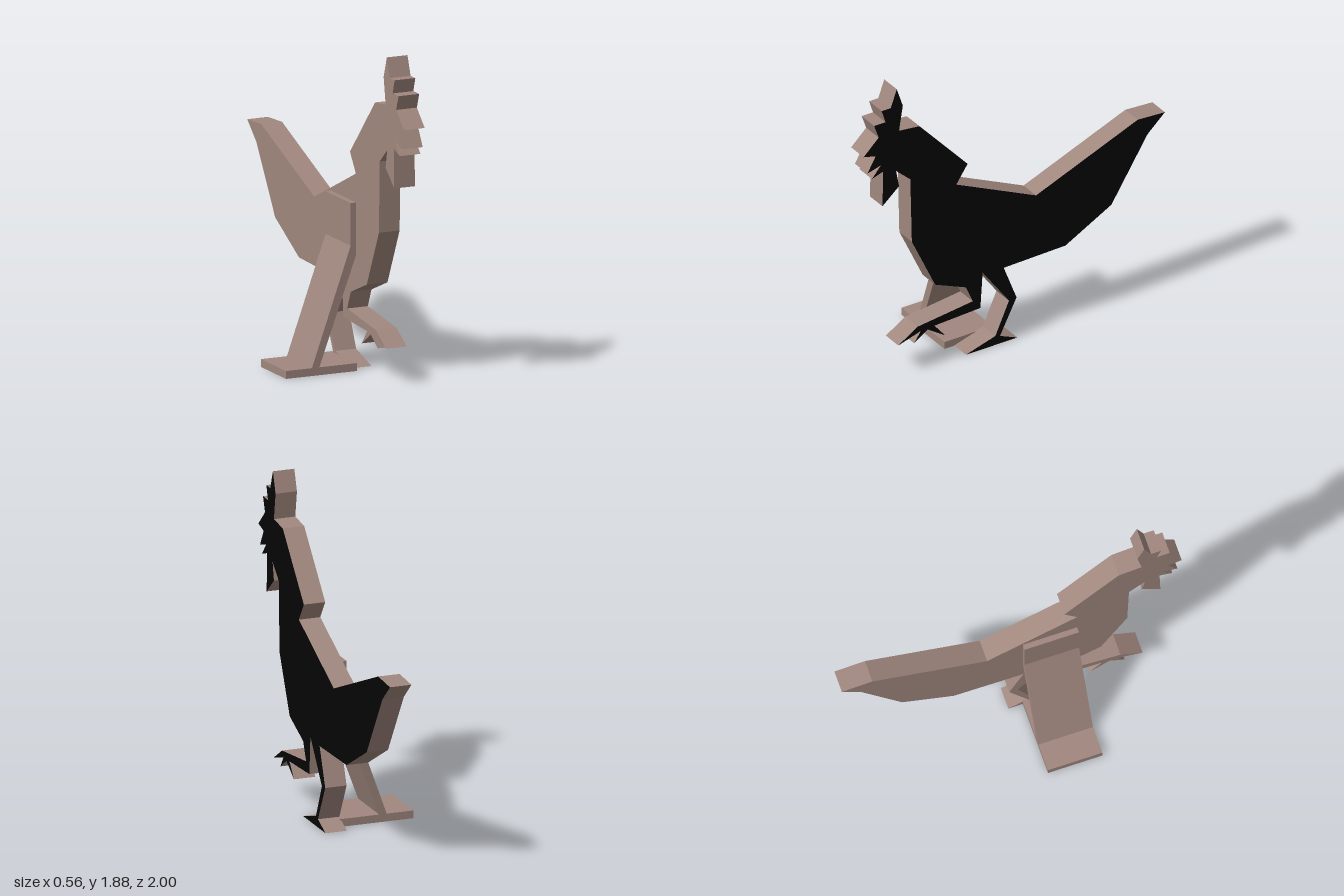
import * as THREE from 'three';

// Extrudes an outline of [z, y] points sideways from x0 to x1
function extrudeSide(points, x0, x1) {
  const shape = new THREE.Shape(points.map(([z, y]) => new THREE.Vector2(-z, y)));
  const geo = new THREE.ExtrudeGeometry(shape, { depth: x1 - x0, bevelEnabled: false });
  return geo.rotateY(Math.PI / 2).translate(x0, 0, 0);
}

export function createModel() {
  const wood = new THREE.MeshStandardMaterial({ color: 0xa1887f });
  wood.name = 'wood';
  const blackPaint = new THREE.MeshStandardMaterial({ color: 0x050505 });
  blackPaint.name = 'blackPaint';

  const model = new THREE.Group();
  model.name = 'roosterCutout';

  const outline = [
    // comb, neck and back
    [0.78, 1.88], [0.74, 1.76], [0.765, 1.605], [0.63, 1.59], [0.31, 1.24], [0.385, 1.13], [-0.145, 0.885],
    // tail and belly
    [-0.82, 1.155], [-1, 1.145], [-0.885, 1.04], [-0.645, 0.66], [-0.34, 0.495], [0.07, 0.485],
    // standing leg
    [-0.015, 0.265], [0.095, 0.05], [-0.02, 0.002], [0.32, 0.002], [0.125, 0.06], [0.035, 0.26], [0.21, 0.5],
    // raised leg and toes
    [0.225, 0.275], [0.53, 0.26], [0.46, 0.175], [0.575, 0.25], [0.665, 0.19], [0.62, 0.255],
    [0.77, 0.21], [0.64, 0.29], [0.275, 0.335], [0.32, 0.44],
    // breast and throat
    [0.525, 0.525], [0.68, 0.855], [0.69, 1.265], [0.785, 1.35],
    // wattle, beak and comb points
    [0.765, 1.245], [0.875, 1.15], [0.87, 1.375], [0.945, 1.35], [0.885, 1.42], [0.975, 1.395],
    [0.92, 1.49], [1, 1.51], [0.9, 1.605], [0.93, 1.69], [0.855, 1.69], [0.88, 1.77], [0.82, 1.77],
  ];

  // Bird board: only the outward (+x) cap is painted black
  const birdGeo = extrudeSide(outline, 0.152, 0.28);
  const [caps, edge] = birdGeo.groups.map((g) => ({ ...g }));
  birdGeo.clearGroups();
  birdGeo.addGroup(0, caps.count / 2, 0);
  birdGeo.addGroup(caps.count / 2, caps.count / 2, 1);
  birdGeo.addGroup(edge.start, edge.count, 0);
  const bird = new THREE.Mesh(birdGeo, [wood, blackPaint]);
  bird.name = 'birdBoard';
  model.add(bird);

  // Foot plate behind the board
  const base = new THREE.Mesh(new THREE.BoxGeometry(0.44, 0.045, 0.32), wood);
  base.name = 'basePlate';
  base.position.set(-0.06, 0.0225, 0.225);
  model.add(base);

  // Slanted brace with an upright tab against the board
  const braceShape = new THREE.Shape([
    [-0.135, 0.001], [-0.09, 0.001], [0.152, 0.66], [0.152, 0.965], [0.12, 0.965], [0.12, 0.72],
  ].map(([x, y]) => new THREE.Vector2(x, y)));
  const brace = new THREE.Mesh(
    new THREE.ExtrudeGeometry(braceShape, { depth: 0.32, bevelEnabled: false }), wood);
  brace.name = 'brace';
  brace.position.z = 0.065;
  model.add(brace);

  return model;
}
